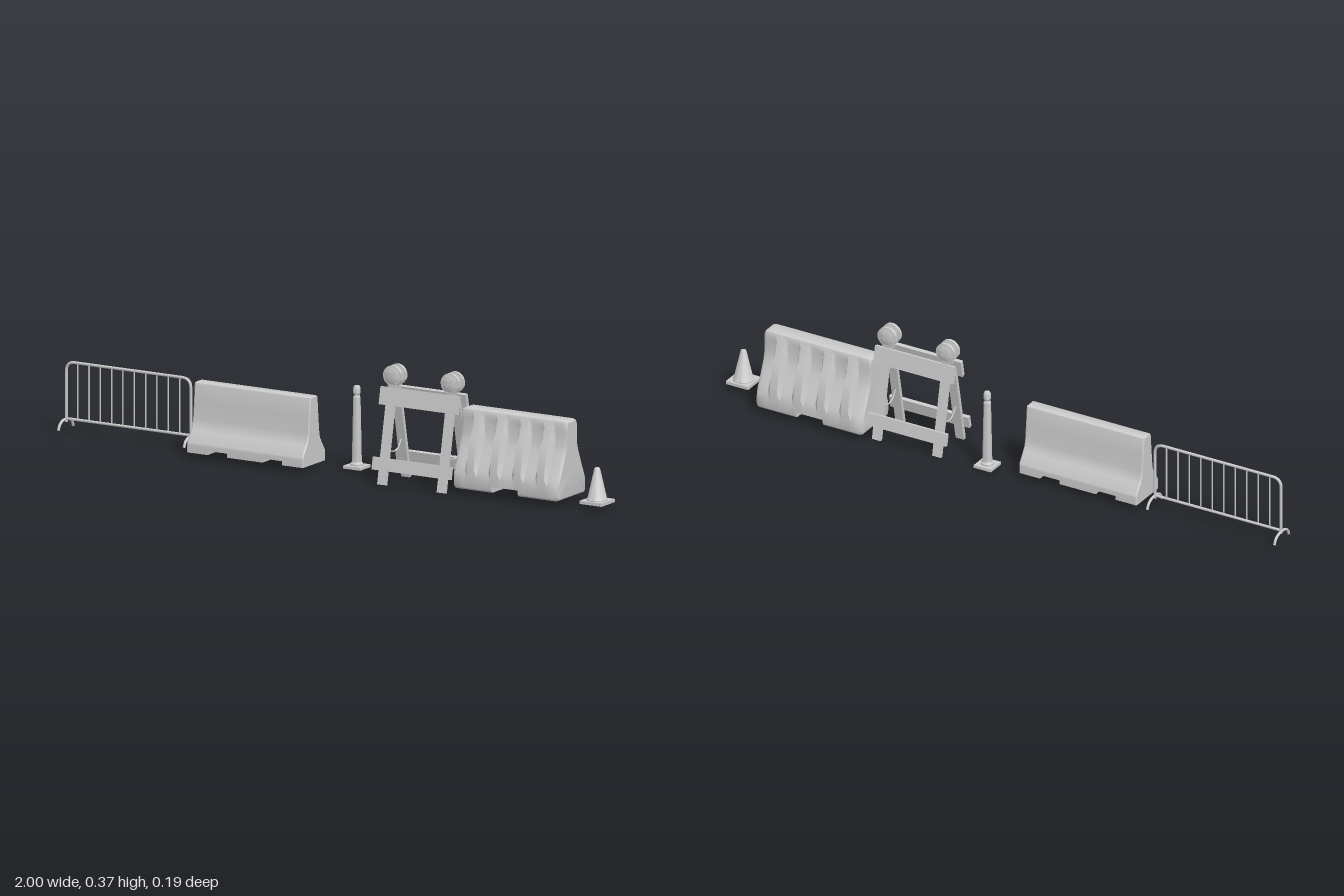
import * as THREE from 'three';
import { toCreasedNormals } from 'three/addons/utils/BufferGeometryUtils.js';

const mat = new THREE.MeshStandardMaterial({ color: 0xcccccc });
const V = (x, y, z) => new THREE.Vector3(x, y, z);

function add(parent, name, geo, x = 0, y = 0, z = 0) {
  const m = new THREE.Mesh(geo, mat);
  m.name = name;
  m.position.set(x, y, z);
  parent.add(m);
  return m;
}

function group(parent, name, x = 0, y = 0, z = 0) {
  const g = new THREE.Group();
  g.name = name;
  g.position.set(x, y, z);
  parent.add(g);
  return g;
}

const tube = (pts, r, n = 24) => new THREE.TubeGeometry(new THREE.CatmullRomCurve3(pts), n, r, 8);
const lathe = (pts, n = 24) =>
  toCreasedNormals(new THREE.LatheGeometry(pts.map(p => new THREE.Vector2(...p)), n), 0.6);

// Solid lofted along x; half(x) gives [halfWidth, y] points from top to bottom
function loft(xs, half, midY) {
  const pos = [], idx = [];
  let n = 0;
  for (const x of xs) {
    const h = half(x);
    const ring = [...h, ...h.map(([w, y]) => [-w, y]).reverse()];
    n = ring.length;
    for (const [w, y] of ring) pos.push(x, y, w);
  }
  const last = (xs.length - 1) * n, c0 = xs.length * n;
  pos.push(xs[0], midY, 0, xs[xs.length - 1], midY, 0);
  for (let j = 0; j < n; j++) {
    const k = (j + 1) % n;
    for (let i = 0; i < last; i += n) {
      idx.push(i + j, i + k, i + n + k, i + j, i + n + k, i + n + j);
    }
    idx.push(c0, k, j, c0 + 1, last + j, last + k);
  }
  const g = new THREE.BufferGeometry();
  g.setAttribute('position', new THREE.Float32BufferAttribute(pos, 3));
  g.setIndex(idx);
  return toCreasedNormals(g, 0.55);
}

// Stations where the underside steps up into a slot
const slotStations = slots => slots.flatMap(([a, b]) => [a - 0.0005, a + 0.0005, b - 0.0005, b + 0.0005]);
const inSlot = (slots, x) => slots.some(([a, b]) => x > a && x < b);
const sorted = xs => [...new Set(xs)].sort((a, b) => a - b);

function crowdFence(root) {
  const g = group(root, 'crowdFence', -0.766, 0, -0.01);
  const hw = 0.226, top = 0.23, low = 0.05, r = 0.03;
  // Hooped outer frame
  const path = new THREE.CurvePath();
  path.add(new THREE.LineCurve3(V(-hw, 0.04, 0), V(-hw, top - r, 0)));
  path.add(new THREE.QuadraticBezierCurve3(V(-hw, top - r, 0), V(-hw, top, 0), V(-hw + r, top, 0)));
  path.add(new THREE.LineCurve3(V(-hw + r, top, 0), V(hw - r, top, 0)));
  path.add(new THREE.QuadraticBezierCurve3(V(hw - r, top, 0), V(hw, top, 0), V(hw, top - r, 0)));
  path.add(new THREE.LineCurve3(V(hw, top - r, 0), V(hw, 0.04, 0)));
  add(g, 'fenceFrame', new THREE.TubeGeometry(path, 90, 0.0048, 8));
  add(g, 'bottomRail', new THREE.CylinderGeometry(0.0045, 0.0045, hw * 2, 8), 0, low, 0).rotation.z = Math.PI / 2;
  for (let i = 1; i <= 10; i++) {
    add(g, 'fenceBar', new THREE.CylinderGeometry(0.0025, 0.0025, top - low, 8), -hw + (i * hw * 2) / 11, (top + low) / 2, 0);
  }
  // Arched feet
  for (const s of [-1, 1]) {
    add(g, 'fenceFoot', tube([V(0, 0.019, -0.044), V(0, 0.035, -0.036), V(0, 0.045, -0.018),
      V(0, 0.046, 0.018), V(0, 0.035, 0.036), V(0, 0.019, 0.044)], 0.0045), s * (hw + 0.002), 0, 0);
  }
}

function concreteBarrier(root) {
  const g = group(root, 'concreteBarrier', -0.286, 0, 0.0175);
  const L = 0.211, slots = [[-0.135, -0.065], [0.065, 0.135]];
  const prof = [[0.015, 0.235], [0.02, 0.232], [0.022, 0.227], [0.027, 0.17], [0.032, 0.12], [0.036, 0.1],
    [0.045, 0.085], [0.062, 0.06], [0.066, 0.053], [0.067, 0.045], [0.067, 0.02]];
  const xs = sorted([-L, -L + 0.004, L - 0.004, L, ...slotStations(slots)]);
  add(g, 'concreteBody', loft(xs, x => prof.map(([w, y]) => {
    const s = Math.abs(x) === L ? 0.003 : 0;
    return [w - s, inSlot(slots, x) ? Math.max(y, 0.033) : Math.min(y, 0.235 - s)];
  }), 0.1));
}

function delineatorPost(root) {
  const g = group(root, 'delineatorPost', 0.041, 0, -0.045);
  add(g, 'postBase', new THREE.BoxGeometry(0.062, 0.009, 0.062), 0, 0.0145, 0);
  add(g, 'post', lathe([[0, 0.015], [0.02, 0.018], [0.02, 0.024], [0.0155, 0.03], [0.0115, 0.235], [0.009, 0.238],
    [0.009, 0.244], [0.0115, 0.247], [0.0115, 0.264], [0.009, 0.27], [0, 0.271]]));
}

function trestle(root) {
  const g = group(root, 'trestleBarricade', 0.322, 0, 0.015);
  for (const s of [0, 1]) {
    // Leaning half frame, mirrored for the back
    const turn = group(g, s ? 'backFrame' : 'frontFrame');
    turn.rotation.y = s * Math.PI;
    const lean = group(turn, 'leaningFrame', 0, 0.3, 0.011);
    lean.rotation.x = -0.2;
    for (const x of [-0.108, 0.108]) {
      add(lean, 'leg', new THREE.BoxGeometry(0.03, 0.28, 0.012), x, -0.164, 0);
    }
    add(lean, 'upperBoard', new THREE.BoxGeometry(0.284, 0.056, 0.013), 0, -0.029, 0.009);
    add(lean, 'lowerBoard', new THREE.BoxGeometry(0.284, 0.04, 0.013), 0, -0.24, 0.011);
    // Warning lamps
    for (const x of [-0.104, 0.105]) {
      const lamp = group(turn, 'lamp', x, 0.337, 0.0145);
      add(lamp, 'lampStem', new THREE.BoxGeometry(0.022, 0.02, 0.011), 0, -0.037, 0);
      add(lamp, 'lampLens', lathe([[0, -0.0105], [0.012, -0.0098], [0.022, -0.0075], [0.027, -0.005], [0.033, -0.005],
        [0.033, 0.005], [0.027, 0.005], [0.022, 0.0075], [0.012, 0.0098], [0, 0.0105]])).rotation.x = Math.PI / 2;
    }
  }
  // Hinges and slack straps between the legs
  for (const x of [-0.108, 0.108]) {
    add(g, 'hinge', new THREE.CylinderGeometry(0.008, 0.008, 0.03, 12), x, 0.27, 0).rotation.z = Math.PI / 2;
    add(g, 'strap', tube([V(x, 0.13, -0.044), V(x, 0.1, -0.02), V(x, 0.095, 0), V(x, 0.1, 0.02), V(x, 0.13, 0.044)], 0.0022, 16));
  }
}

function plasticBarrier(root) {
  const g = group(root, 'waterFilledBarrier', 0.654, 0, -0.008);
  const L = 0.191, slots = [[-0.05, 0.045]], ribs = [-0.1275, -0.0425, 0.0425, 0.1275];
  // [y, width between ribs, width at ribs]
  const prof = [[0.265, 0.022, 0.022], [0.262, 0.028, 0.028], [0.255, 0.031, 0.031], [0.235, 0.031, 0.037],
    [0.21, 0.032, 0.048], [0.185, 0.034, 0.06], [0.165, 0.04, 0.068], [0.14, 0.051, 0.075], [0.11, 0.064, 0.081],
    [0.085, 0.076, 0.084], [0.065, 0.084, 0.085], [0.035, 0.085, 0.085], [0.025, 0.083, 0.083], [0.02, 0.078, 0.078]];
  const rib = x => Math.max(...ribs.map(c => THREE.MathUtils.clamp((0.023 - Math.abs(x - c)) / 0.01, 0, 1)));
  const ends = [[0, 0.9], [0.003, 0.96], [0.01, 1]];
  const xs = sorted([...ends.flatMap(([d]) => [-L + d, L - d]), ...slotStations(slots),
    ...ribs.flatMap(c => [-0.023, -0.013, 0.013, 0.023].map(d => c + d))]);
  add(g, 'barrierBody', loft(xs, x => {
    const e = ends.find(([d]) => Math.abs(L - d - Math.abs(x)) < 1e-6);
    const s = e ? e[1] : 1, t = rib(x);
    return prof.map(([y, a, b]) => [
      (a + (b - a) * t) * s,
      inSlot(slots, x) ? Math.max(y, 0.04) : 0.14 + (y - 0.14) * (0.5 + s / 2),
    ]);
  }, 0.1));
}

function trafficCone(root) {
  const g = group(root, 'trafficCone', 0.958, 0, 0.027);
  add(g, 'coneBase', new THREE.BoxGeometry(0.08, 0.01, 0.08), 0, 0.027, 0);
  add(g, 'cone', lathe([[0.033, 0.03], [0.033, 0.036], [0.03, 0.039], [0.0095, 0.13], [0.007, 0.134], [0, 0.135]], 32));
}

export function createModel() {
  const root = new THREE.Group();
  root.name = 'roadBarriers';
  crowdFence(root);
  concreteBarrier(root);
  delineatorPost(root);
  trestle(root);
  plasticBarrier(root);
  trafficCone(root);
  return root;
}
